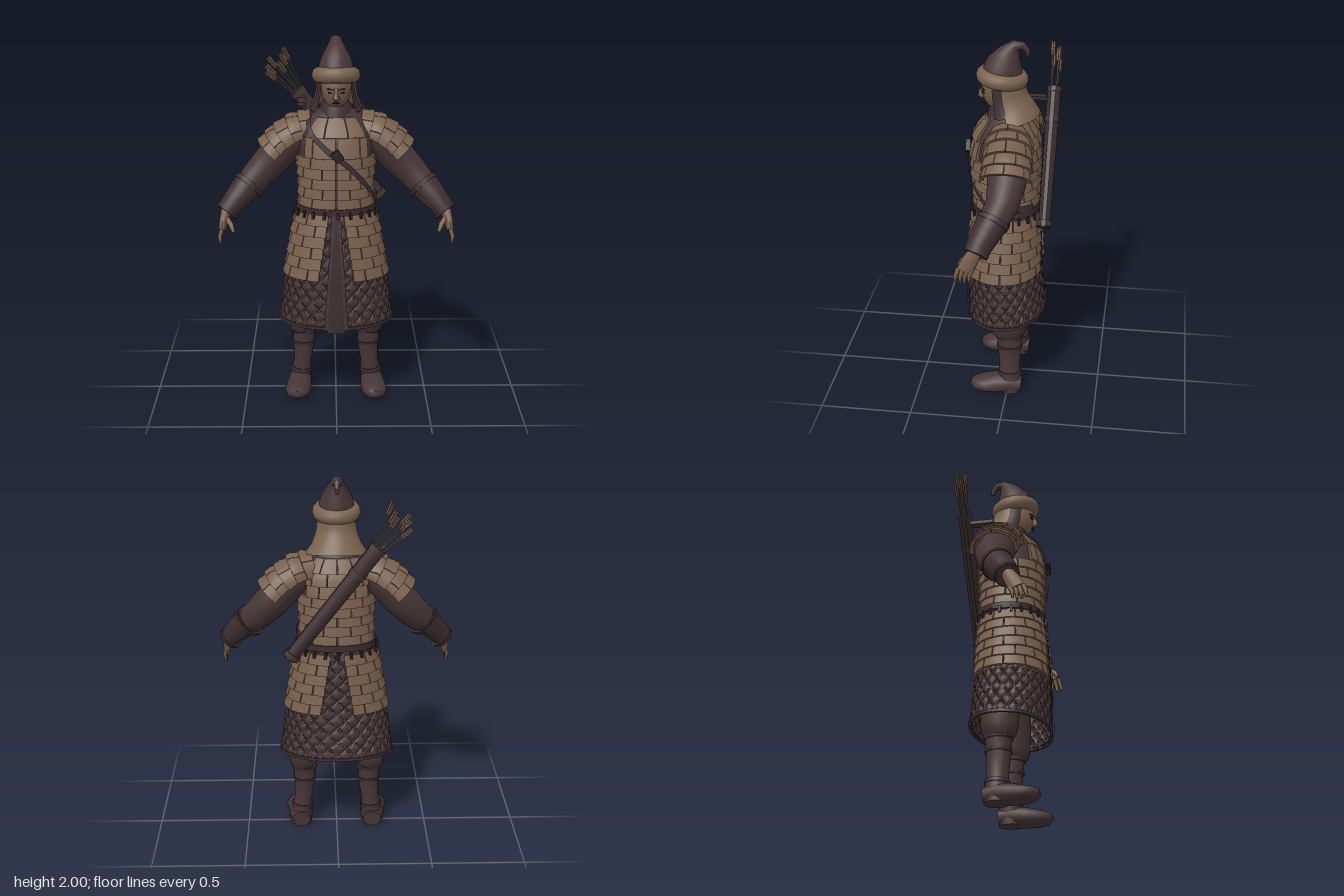
import * as THREE from 'three';
import { mergeGeometries, toCreasedNormals } from 'three/addons/utils/BufferGeometryUtils.js';

const V = (x, y, z) => new THREE.Vector3(x, y, z);
const X = V(1, 0, 0), Z = V(0, 0, 1), PI = Math.PI;
const lerp = THREE.MathUtils.lerp;
const range = n => Array.from({ length: n + 1 }, (_, i) => i / n);

const paint = (name, color) => {
  const m = new THREE.MeshStandardMaterial({ color, side: THREE.DoubleSide });
  m.name = name;
  return m;
};

// Quad sheet: us run round the outside, vs run from top to bottom
function grid(us, vs, f) {
  const pos = [], idx = [], n = us.length;
  vs.forEach((v, j) => us.forEach((u, i) => {
    const p = f(u, v, i, j);
    pos.push(p.x, Math.max(0, p.y), p.z);
    if (i < n - 1 && j < vs.length - 1) {
      const a = j * n + i;
      idx.push(a, a + n, a + 1, a + 1, a + n, a + n + 1);
    }
  }));
  const g = new THREE.BufferGeometry();
  g.setAttribute('position', new THREE.Float32BufferAttribute(pos, 3));
  g.setIndex(idx);
  return g;
}

// Swept oval body; rows are [x, y, z, side radius, front radius], read by row number or by height
function surface(rows, byY = false, power = 1) {
  const P = rows.map(r => V(r[0], r[1], r[2])), last = rows.length - 1;
  const frames = P.map((p, i) => {
    const D = P[Math.min(i + 1, last)].clone().sub(P[Math.max(i - 1, 0)]).normalize();
    if (Math.abs(D.x) < 0.5) {
      const F = D.clone().cross(X).normalize();
      return [F.clone().cross(D), F];
    }
    const S = Z.clone().cross(D).normalize();
    return [S, D.clone().cross(S)];
  });
  const bulge = s => Math.sign(s) * Math.abs(s) ** power;
  return (v, a, off = 0) => {
    let i = 0, t;
    if (byY) {
      while (i < last - 1 && v < rows[i + 1][1]) i++;
      t = (v - rows[i][1]) / (rows[i + 1][1] - rows[i][1]);
    } else {
      i = Math.min(Math.floor(v), last - 1);
      t = v - i;
    }
    const [S, F] = [0, 1].map(k => frames[i][k].clone().lerp(frames[i + 1][k], t));
    const r = k => off === null ? 0 : lerp(rows[i][k], rows[i + 1][k], t) + off;
    return P[i].clone().lerp(P[i + 1], t)
      .addScaledVector(S, r(3) * bulge(Math.sin(a))).addScaledVector(F, r(4) * bulge(Math.cos(a)));
  };
}

// Capped solid along rows
function sweep(rows, n = 20, power = 1) {
  const s = surface(rows, false, power), vs = rows.map((_, i) => i);
  const all = [0, ...vs, rows.length - 1];
  return grid(range(n), all, (u, v, i, j) => s(v, u * 2 * PI, j === 0 || j === all.length - 1 ? null : 0));
}

// One curved plate with closed rims
function plate(s, v0, v1, a0, a1, lift, step = 0, n = 6) {
  const ts = range(3), us = range(n);
  return grid([0, ...us, 1], [0, ...ts, 1], (u, t, i, j) => {
    const rim = i === 0 || i === n + 2 || j === 0 || j === 5;
    return s(lerp(v0, v1, t), lerp(a0, a1, u), rim ? 0 : lift + step * t);
  });
}

// Staggered rows of overlapping plates; a0 and a1 may change from top to bottom
function lamellae(s, v0, v1, bands, a0, a1, count, lift = 0.014, step = 0.01) {
  const out = [], gap = 0.012;
  for (let b = 0; b < bands; b++) {
    const lo = a0(b / bands), w = (a1(b / bands) - lo) / count, shift = b % 2 ? 0.5 : 0;
    for (let k = 0; k < count + (shift ? 1 : 0); k++) {
      const p = Math.max(0, k - shift), q = Math.min(count, k + 1 - shift);
      out.push(plate(s, lerp(v0, v1, b / bands), lerp(v0, v1, (b + 0.97) / bands),
        lo + w * p + gap, lo + w * q - gap, lift, step));
    }
  }
  return mergeGeometries(out);
}

export function createModel() {
  const cloth = paint('dark cloth', 0x463536), leather = paint('dark leather', 0x3d2e30);
  const armour = paint('tan armour', 0x785f4d), fur = paint('tan fur', 0x7a634f);
  const skin = paint('skin', 0x775d4a), detail = paint('dark detail', 0x2c2021);

  const model = new THREE.Group();
  const add = (parent, name, mat, geo, crease = 0.7) => {
    const m = new THREE.Mesh(toCreasedNormals(geo, crease), mat);
    m.name = name;
    parent.add(m);
    return m;
  };
  const box = (parent, name, mat, size, at, ry = 0) => {
    const m = add(parent, name, mat, new THREE.BoxGeometry(...size));
    m.position.set(...at);
    m.rotation.y = ry;
    return m;
  };
  const k = c => () => c;

  // Torso with plates
  const torsoRows = [[0, 1.62, 0.02, 0.09, 0.08], [0, 1.57, 0.02, 0.15, 0.115], [0, 1.5, 0.025, 0.2, 0.155],
    [0, 1.4, 0.03, 0.2, 0.17], [0, 1.25, 0.03, 0.185, 0.165], [0, 1.08, 0.025, 0.185, 0.155]];
  const torso = surface(torsoRows, true, 0.88);
  add(model, 'undercoat', cloth, sweep(torsoRows, 48, 0.88));
  add(model, 'waistPlates', armour, lamellae(torso, 1.38, 1.11, 5, k(0), k(2 * PI), 10));
  add(model, 'breastPlates', armour, lamellae(torso, 1.585, 1.38, 2, t => -0.72 - 0.2 * t, t => 0.72 + 0.2 * t, 3));
  add(model, 'backPlates', armour, lamellae(torso, 1.585, 1.38, 3, k(PI - 0.8), k(PI + 0.8), 4));
  add(model, 'collar', leather, sweep([[0, 1.67, 0.04, 0.065, 0.07], [0, 1.63, 0.035, 0.085, 0.09], [0, 1.56, 0.03, 0.11, 0.11]]));

  // Quilted skirt
  const skirt = surface([[0, 1.1, 0.025, 0.19, 0.16], [0, 0.95, 0.03, 0.225, 0.178], [0, 0.72, 0.035, 0.265, 0.19],
    [0, 0.45, 0.022, 0.3, 0.202]], true, 0.92);
  add(model, 'quiltedSkirt', cloth, grid(range(176), range(54), (u, v) => {
    const y = lerp(1.1, 0.45, v), a = u * 2 * PI, d = y * PI / 0.08;
    const groove = Math.min(Math.abs(Math.sin(a * 11 + d)), Math.abs(Math.sin(a * 11 - d)));
    return skirt(y, a, 0.014 * Math.sqrt(groove));
  }), 0.35);
  add(model, 'skirtHem', leather, plate(skirt, 0.466, 0.45, 0, 2 * PI, 0.016, 0, 60));
  add(model, 'frontSlit', leather, grid(range(6), range(8), (u, v) =>
    skirt(lerp(1.07, 0.43, v), (u * 2 - 1) * lerp(0.03, 0.13, v), 0.016)));
  for (const s of [-1, 1]) add(model, 'slitTrim', cloth, grid(range(2), range(8), (u, v) =>
    skirt(lerp(1.07, 0.45, v), s * lerp(0.06, 0.15, v) + (u - 0.5) * 0.06, 0.022)));

  // Belt and ties
  add(model, 'belt', leather, plate(torso, 1.115, 1.08, 0, 2 * PI, 0.03, 0, 48));
  add(model, 'beltTies', detail, mergeGeometries(range(22).slice(1).map(u =>
    plate(skirt, 1.09, 1.05, u * 2 * PI, u * 2 * PI + 0.06, 0.034, -0.004, 1))));

  // Paired parts
  for (const s of [1, -1]) {
    const side = new THREE.Group();
    side.name = s > 0 ? 'leftSide' : 'rightSide';
    side.scale.x = s;
    model.add(side);

    add(side, 'skirtPlates', armour, lamellae(skirt, 1.07, 0.72, 6, t => 0.16 + 0.16 * t, t => PI - 0.14 - 0.16 * t, 5, 0.018, 0.008));

    const armRows = [[0.15, 1.5, 0, 0.08, 0.1], [0.25, 1.43, -0.005, 0.095, 0.105], [0.33, 1.345, -0.015, 0.095, 0.1],
      [0.41, 1.262, 0, 0.085, 0.085], [0.48, 1.187, 0.045, 0.074, 0.072], [0.54, 1.123, 0.085, 0.06, 0.06],
      [0.585, 1.07, 0.11, 0.05, 0.052]];
    const arm = surface(armRows);
    add(side, 'sleeve', cloth, sweep(armRows, 24));
    add(side, 'bracer', leather, mergeGeometries([
      plate(arm, 3.7, 5.9, -0.5, PI + 0.5, 0.01, 0, 16), plate(arm, 5.75, 6, 0, 2 * PI, 0.014, 0, 20),
      plate(arm, 3.75, 3.95, 0, 2 * PI, 0.014, 0, 20)]));

    const shoulder = surface([[0.11, 1.505, 0, 0.095, 0.1], [0.2, 1.48, -0.005, 0.1, 0.115],
      [0.28, 1.425, -0.01, 0.1, 0.115], [0.335, 1.365, -0.01, 0.095, 0.112]]);
    add(side, 'shoulderPlates', armour, lamellae(shoulder, 0, 3, 5, k(-0.15), k(PI + 0.15), 4, 0.008, 0.012));

    // Hand
    const hand = [sweep([[0.583, 1.085, 0.11, 0.03, 0.035], [0.6, 1.03, 0.14, 0.024, 0.042], [0.607, 0.985, 0.16, 0.018, 0.042]], 12),
      sweep([[0.585, 1.05, 0.14, 0.016, 0.016], [0.557, 1.02, 0.18, 0.014, 0.014], [0.543, 0.985, 0.2, 0.009, 0.009]], 8)];
    for (let f = 0; f < 4; f++) {
      const z = 0.125 + f * 0.023, drop = [0.01, 0, 0, 0.008][f];
      hand.push(sweep([[0.605, 1.0, z, 0.012, 0.012], [0.617, 0.955 + drop, z + 0.012, 0.011, 0.011],
        [0.611, 0.92 + drop, z + 0.016, 0.007, 0.007]], 8));
    }
    add(side, 'hand', skin, mergeGeometries(hand), 1);

    // Leg and boot
    add(side, 'trouserLeg', cloth, sweep([[0.12, 0.85, 0, 0.1, 0.11], [0.175, 0.52, 0, 0.085, 0.1], [0.188, 0.42, -0.005, 0.08, 0.1],
      [0.185, 0.37, -0.008, 0.072, 0.088], [0.18, 0.345, -0.01, 0.05, 0.06]]));
    const bootRows = [[0.18, 0.365, -0.01, 0.064, 0.072], [0.18, 0.26, -0.01, 0.057, 0.064], [0.188, 0.16, -0.012, 0.049, 0.057],
      [0.197, 0.09, -0.015, 0.057, 0.062], [0.203, 0, -0.015, 0.062, 0.064]];
    const boot = surface(bootRows, true);
    add(side, 'bootShaft', cloth, sweep(bootRows));
    add(side, 'bootBands', leather, mergeGeometries([[0.365, 0.345], [0.29, 0.275], [0.125, 0.105]].map(([a, b]) =>
      plate(boot, a, b, 0, 2 * PI, 0.006, 0, 20))));
    add(side, 'bootFoot', cloth, sweep([[0.2, 0.045, -0.08, 0.05, 0.045], [0.202, 0.05, -0.02, 0.064, 0.06],
      [0.207, 0.045, 0.06, 0.068, 0.058], [0.213, 0.04, 0.13, 0.072, 0.046], [0.217, 0.04, 0.18, 0.055, 0.036],
      [0.217, 0.045, 0.205, 0.02, 0.018]]));

    // Eye, brow and cheek flap
    box(side, 'eye', detail, [0.024, 0.008, 0.009], [0.03, 1.722, 0.147], 0.35);
    box(side, 'brow', detail, [0.034, 0.007, 0.009], [0.031, 1.741, 0.147], 0.35);
  }

  // Head
  add(model, 'head', skin, sweep([[0, 1.84, 0.05, 0.05, 0.06], [0, 1.79, 0.055, 0.078, 0.095], [0, 1.73, 0.055, 0.078, 0.1],
    [0, 1.685, 0.06, 0.071, 0.094], [0, 1.65, 0.072, 0.052, 0.078], [0, 1.63, 0.08, 0.03, 0.05]], 28), 1);
  add(model, 'nose', skin, sweep([[0, 1.75, 0.147, 0.007, 0.008], [0, 1.715, 0.16, 0.011, 0.014], [0, 1.697, 0.161, 0.018, 0.019],
    [0, 1.685, 0.15, 0.013, 0.01]], 10), 1);
  box(model, 'mouth', detail, [0.036, 0.006, 0.009], [0, 1.668, 0.148]);

  // Neck guard and cheek flaps
  const guard = surface([[0, 1.79, 0.04, 0.1, 0.11], [0, 1.7, 0.03, 0.108, 0.112], [0, 1.64, 0.01, 0.13, 0.125], [0, 1.585, 0, 0.17, 0.15]], true);
  add(model, 'neckGuard', fur, grid(range(30), range(8), (u, v) => guard(lerp(1.79, 1.585, v), lerp(1.5, 2 * PI - 1.5, u))), 1);
  for (const s of [-1, 1]) add(model, 'cheekFlap', leather, grid(range(6), range(5), (u, v) =>
    guard(lerp(1.78, 1.62, v), s * lerp(0.95, 1.55, u), -0.008)), 1);

  // Hat with curled tip and fur brim
  add(model, 'hat', cloth, sweep([[0, 1.918, -0.082, 0.007, 0.009], [0, 1.945, -0.08, 0.013, 0.015], [0, 1.972, -0.058, 0.019, 0.02],
    [0, 1.972, -0.02, 0.03, 0.03], [0, 1.935, 0.01, 0.05, 0.058], [0, 1.88, 0.035, 0.083, 0.092], [0, 1.81, 0.05, 0.1, 0.11]], 20), 0.6);
  const brim = add(model, 'furBrim', fur, new THREE.TorusGeometry(0.094, 0.034, 12, 36).rotateX(PI / 2).scale(1, 1.2, 1.07), 1);
  brim.position.set(0, 1.8, 0.05);
  brim.rotation.x = -0.13;

  // Quiver and arrows on the back
  const quiver = new THREE.Group();
  quiver.name = 'quiver';
  quiver.position.set(0.02, 1.37, -0.2);
  quiver.rotation.z = Math.atan2(0.46, 0.6);
  model.add(quiver);
  add(quiver, 'quiverTube', leather, new THREE.CylinderGeometry(0.044, 0.038, 0.76, 10).scale(1, 1, 0.85));
  for (const y of [-0.36, 0.2, 0.365]) {
    add(quiver, 'quiverBand', cloth, new THREE.CylinderGeometry(0.048, 0.046, 0.03, 10).scale(1, 1, 0.85)).position.y = y;
  }
  for (let i = 0; i < 6; i++) {
    const arrow = new THREE.Group(), len = 0.2 + (i % 3) * 0.025;
    arrow.name = 'arrow';
    arrow.position.set((i - 2.5) * 0.011, 0.36, i % 2 ? 0.014 : -0.014);
    arrow.rotation.z = (2.5 - i) * 0.09;
    add(arrow, 'shaft', fur, new THREE.CylinderGeometry(0.004, 0.004, len, 6)).position.y = len / 2;
    for (let j = 0; j < 3; j++) box(arrow, 'feather', armour, [0.026, 0.07, 0.003], [0, len - 0.03, 0], j * PI / 3);
    quiver.add(arrow);
  }

  // Quiver strap round the chest
  const ribbon = (y0, y1, a0, a1) => grid(range(24), [0.5, -0.5], (u, v) =>
    torso(lerp(y0, y1, u) + v * 0.036, lerp(a0, a1, u), 0.034));
  add(model, 'strap', leather, mergeGeometries([ribbon(1.585, 1.15, -0.95, 1.2), ribbon(1.15, 1.13, 1.2, 2.5)]), 1);
  box(model, 'strapBuckle', detail, [0.045, 0.06, 0.025], [0.005, 1.405, 0.232]).rotation.z = 0.6;
  box(model, 'shoulderStrap', leather, [0.045, 0.02, 0.15], [-0.185, 1.625, -0.115]);
  return model;
}
